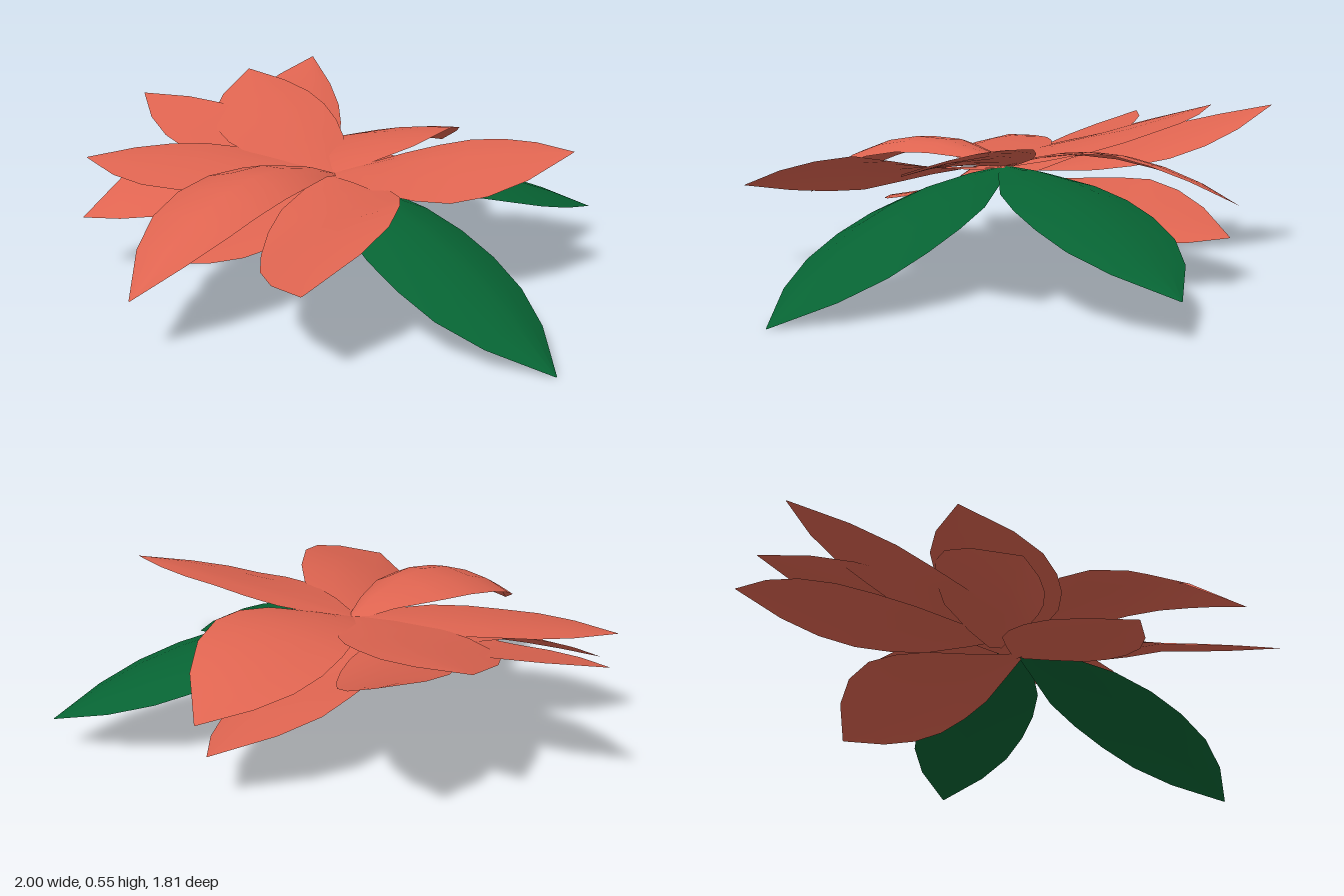
import * as THREE from 'three';

// half-width along a petal: [fraction of length, fraction of full width]
const PROFILE = [[0, 0.12], [0.12, 0.45], [0.28, 0.84], [0.42, 0.98], [0.56, 1], [0.7, 0.9], [0.84, 0.6], [1, 0.01]];
const ACROSS = [-1, -0.5, 0, 0.5, 1];

// One blade from base to tip. wl / wr: widths clockwise / counter-clockwise of the
// midline seen from above, roll: sideways slope, lift: arch, cup: drop of the edges.
function bladeGeometry({ base = [0, 0.36, 0], tip, wl, wr, roll = 0, lift = 0, cup = 0.015 }) {
  const dx = tip[0] - base[0], dz = tip[2] - base[2];
  const len = Math.hypot(dx, dz);
  const px = dz / len, pz = -dx / len;
  const pos = [], idx = [], n = ACROSS.length;
  PROFILE.forEach(([t, w], i) => {
    const midY = base[1] + (tip[1] - base[1]) * t + lift * 4 * t * (1 - t);
    const slope = roll * Math.min(1, 1.8 * t); // flat at the root, tilted further out
    ACROSS.forEach((s, j) => {
      const off = s * w * (s < 0 ? wl : wr);
      pos.push(base[0] + dx * t + px * off, midY + slope * off - cup * s * s * w, base[2] + dz * t + pz * off);
      if (i < PROFILE.length - 1 && j < n - 1) {
        const a = i * n + j;
        idx.push(a, a + n, a + 1, a + 1, a + n, a + n + 1);
      }
    });
  });
  const g = new THREE.BufferGeometry();
  g.setAttribute('position', new THREE.Float32BufferAttribute(pos, 3));
  g.setIndex(idx);
  g.computeVertexNormals();
  return g;
}

const LOW = [0, 0.32, 0];

const UPPER_PETALS = {
  frontPetal: { tip: [0.04, 0.19, 0.9], wl: 0.225, wr: 0.135, lift: 0.155, cup: 0.045 },
  frontLeftPetal: { tip: [0.55, 0.3, 0.7], wl: 0.175, wr: 0.245, roll: 0.42, lift: 0.015 },
  backLeftPetal: { tip: [0.7, 0.5, -0.38], wl: 0.27, wr: 0.14, roll: 0.22, lift: 0.02 },
  backPetal: { tip: [-0.16, 0.28, -0.79], wl: 0.215, wr: 0.2, roll: -0.22, lift: 0.1 },
  backRightPetal: { tip: [-0.84, 0.53, -0.37], wl: 0.17, wr: 0.26, roll: -0.13 },
  frontRightPetal: { tip: [-0.735, 0.37, 0.5], wl: 0.17, wr: 0.215, roll: -0.12, lift: 0.02 },
};

const LOWER_PETALS = {
  lowerBackPetal: { base: LOW, tip: [-0.17, 0.17, -0.76], wl: 0.15, wr: 0.28, roll: 0.28 },
  lowerBackRightPetal: { base: [-0.13, 0.33, 0.04], tip: [-0.75, 0.55, -0.65], wl: 0.13, wr: 0.22, roll: 0.17, lift: -0.04 },
  lowerRightPetal: { base: [0, 0.315, 0], tip: [-1, 0.475, 0.04], wl: 0.155, wr: 0.17, roll: -0.22, cup: 0 },
  lowerFrontRightPetal: { base: [-0.1, 0.32, 0], tip: [-0.6, 0.21, 0.62], wl: 0.23, wr: 0.1, roll: -0.42, lift: 0.05 },
  lowerFrontPetal: { base: LOW, tip: [-0.13, 0.18, 0.64], wl: 0.22, wr: 0.18 },
};

const LEAVES = {
  leftLeaf: { tip: [1, 0, 0.12], wl: 0.22, wr: 0.2, lift: 0.08, cup: 0.06 },
  backLeaf: { tip: [0.46, 0.12, -0.905], wl: 0.2, wr: 0.22, lift: 0.07, cup: 0.04 },
};

export function createModel() {
  const petalRed = new THREE.MeshStandardMaterial({ color: 0xde6450, side: THREE.DoubleSide });
  petalRed.name = 'petalRed';
  const leafGreen = new THREE.MeshStandardMaterial({ color: 0x076333, side: THREE.DoubleSide });
  leafGreen.name = 'leafGreen';

  const flower = new THREE.Group();
  flower.name = 'flower';
  const addBlades = (groupName, blades, material) => {
    const group = new THREE.Group();
    group.name = groupName;
    for (const [name, spec] of Object.entries(blades)) {
      const mesh = new THREE.Mesh(bladeGeometry(spec), material);
      mesh.name = name;
      group.add(mesh);
    }
    flower.add(group);
  };
  addBlades('upperPetals', UPPER_PETALS, petalRed);
  addBlades('lowerPetals', LOWER_PETALS, petalRed);
  addBlades('leaves', LEAVES, leafGreen);
  return flower;
}
